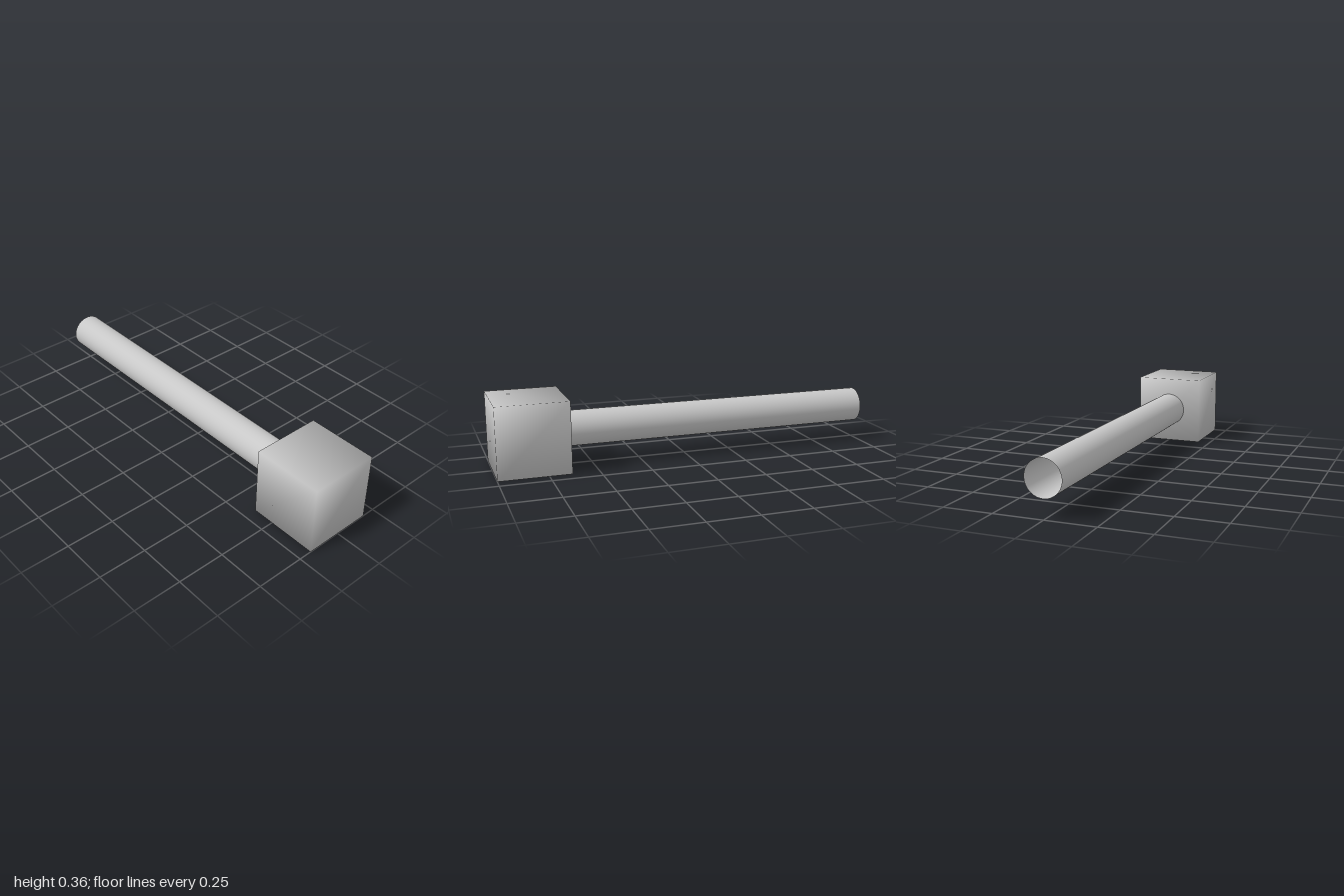
import * as THREE from 'three';

export function createModel() {
  const model = new THREE.Group();
  const grey = new THREE.MeshStandardMaterial({ color: 0xc8c8c8, side: THREE.DoubleSide });
  grey.name = 'light grey';
  const size = 0.364;

  // Block head, softly shaded: normals point outward through the corners
  const box = new THREE.BoxGeometry(size, size, size);
  const position = box.attributes.position;
  const normal = new THREE.Vector3();
  for (let i = 0; i < position.count; i++) {
    normal.fromBufferAttribute(position, i).normalize();
    box.attributes.normal.setXYZ(i, normal.x, normal.y, normal.z);
  }
  const head = new THREE.Mesh(box, grey);
  head.name = 'head';
  head.position.set(0, size / 2, 1 - size / 2);
  model.add(head);

  // Hollow handle, open at the back and meeting the head's rear face
  const length = 2 - size;
  const tube = new THREE.CylinderGeometry(0.09, 0.09, length, 48, 1, true);
  tube.rotateX(Math.PI / 2);
  const handle = new THREE.Mesh(tube, grey);
  handle.name = 'handle';
  handle.position.set(0, size / 2 + 0.002, -1 + length / 2);
  model.add(handle);

  return model;
}
